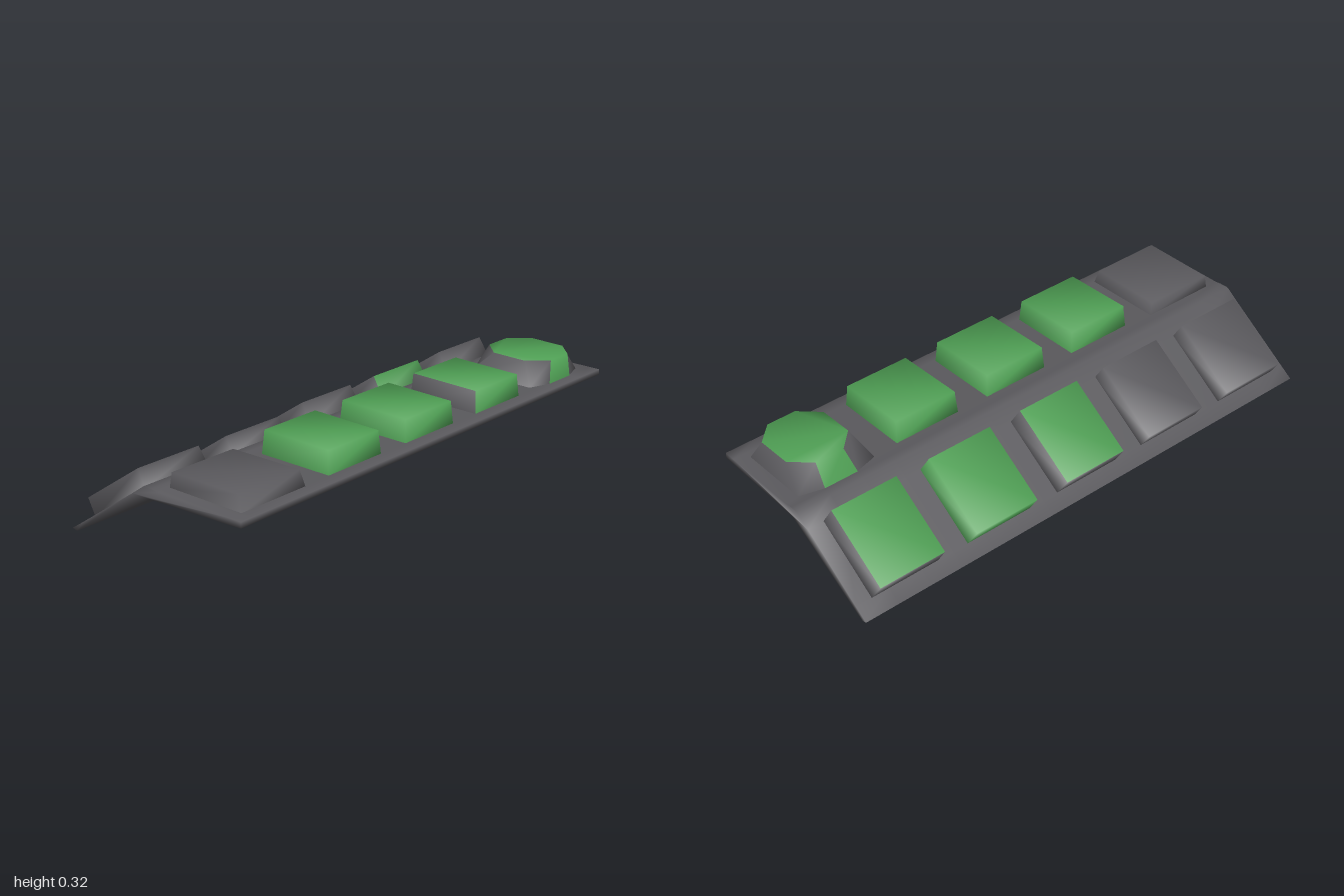
import * as THREE from 'three';
import { mergeVertices } from 'three/addons/utils/BufferGeometryUtils.js';

const grey = new THREE.MeshStandardMaterial({ color: 0x5a595d });
grey.name = 'charcoal grey';
const green = new THREE.MeshStandardMaterial({ color: 0x4f9f54 });
green.name = 'leaf green';

// Bent plate: a cross-section run along z, with smooth shared normals
function bentPlate() {
  const profile = [
    [-0.387, 0.008], [-0.367, 0.002], [-0.31, 0.034], [-0.07, 0.17], [-0.005, 0.206],
    [0.06, 0.207], [0.32, 0.21], [0.386, 0.211], [0.386, 0.232], [0.34, 0.233],
    [0.03, 0.239], [0, 0.243], [-0.035, 0.244], [-0.09, 0.206], [-0.335, 0.042],
  ];
  const shape = new THREE.Shape(profile.map(([x, y]) => new THREE.Vector2(x, y)));
  let geo = new THREE.ExtrudeGeometry(shape, { depth: 2, steps: 15, bevelEnabled: false });
  geo.translate(0, 0, -1);
  geo.deleteAttribute('uv');
  geo.deleteAttribute('normal');
  geo = mergeVertices(geo, 1e-4);
  geo.computeVertexNormals();
  const mesh = new THREE.Mesh(geo, grey);
  mesh.name = 'bentPlate';
  return mesh;
}

// Raised block between two rings of corners; listed walls (and maybe the top) are green
function block(name, base, top, greenWalls, topGreen) {
  const n = base.length;
  const lists = [[], []];
  for (let i = 0; i < n; i++) {
    const j = (i + 1) % n;
    lists[greenWalls.includes(i) ? 1 : 0].push(i, j, n + j, i, n + j, n + i);
  }
  for (let i = 1; i < n - 1; i++) lists[topGreen ? 1 : 0].push(n, n + i, n + i + 1);
  const geo = new THREE.BufferGeometry();
  geo.setAttribute('position', new THREE.Float32BufferAttribute([...base, ...top].flat(), 3));
  geo.setIndex([...lists[0], ...lists[1]]);
  geo.addGroup(0, lists[0].length, 0);
  geo.addGroup(lists[0].length, lists[1].length, 1);
  geo.computeVertexNormals();
  const mesh = new THREE.Mesh(geo, [grey, green]);
  mesh.name = name;
  return mesh;
}

// Four corners from two points of the cross-section and a z range (walls: +z, +x, -z, -x)
const ring = ([xa, ya], [xb, yb], z, half) => [
  [xa, ya, z + half], [xb, yb, z + half], [xb, yb, z - half], [xa, ya, z - half],
];

// Eight corners with cut corners, sloping slightly down towards +x
function cutRing(x0, x1, z0, z1, cx, cz, ya, yb) {
  const points = [
    [x0 + cx, z1], [x1 - cx, z1], [x1, z1 - cz], [x1, z0 + cz],
    [x1 - cx, z0], [x0 + cx, z0], [x0, z0 + cz], [x0, z1 - cz],
  ];
  return points.map(([x, z]) => [x, ya + (yb - ya) * (x - x0) / (x1 - x0), z]);
}

export function createModel() {
  const model = new THREE.Group();
  model.add(bentPlate());

  // Blocks on the level half
  const all = [0, 1, 2, 3];
  model.add(block('levelGreyBlock',
    ring([0.028, 0.235], [0.34, 0.23], 0.8, 0.148),
    ring([0.032, 0.29], [0.322, 0.288], 0.8, 0.14), [], false));
  [[0.4, all], [0, all], [-0.4, [1, 2, 3]]].forEach(([z, walls], i) => {
    model.add(block('levelGreenBlock' + (i + 1),
      ring([0.042, 0.235], [0.335, 0.23], z, 0.134),
      ring([0.05, 0.325], [0.328, 0.316], z, 0.128), walls, true));
  });
  model.add(block('cutCornerBlock',
    cutRing(0.003, 0.343, -0.95, -0.635, 0.03, 0.09, 0.238, 0.23),
    cutRing(0.048, 0.33, -0.93, -0.677, 0.07, 0.07, 0.325, 0.316), [2, 6], true));

  // Blocks on the sloping half, raised along the slope's normal
  const slopeRow = [
    [0.8, 0.138, 0.07, [], false],
    [0.4, 0.132, 0.068, [], false],
    [0, 0.132, 0.085, [], true],
    [-0.4, 0.132, 0.085, [1, 2, 3], true],
    [-0.8, 0.132, 0.085, [], true],
  ];
  slopeRow.forEach(([z, half, height, walls, topGreen], i) => {
    const nx = -0.554 * height, ny = 0.833 * height;
    model.add(block('slopeBlock' + (i + 1),
      ring([-0.335, 0.04], [-0.088, 0.204], z, half + 0.005),
      ring([-0.335 + nx, 0.042 + ny], [-0.086 + nx, 0.207 + ny], z, half), walls, topGreen));
  });

  return model;
}
